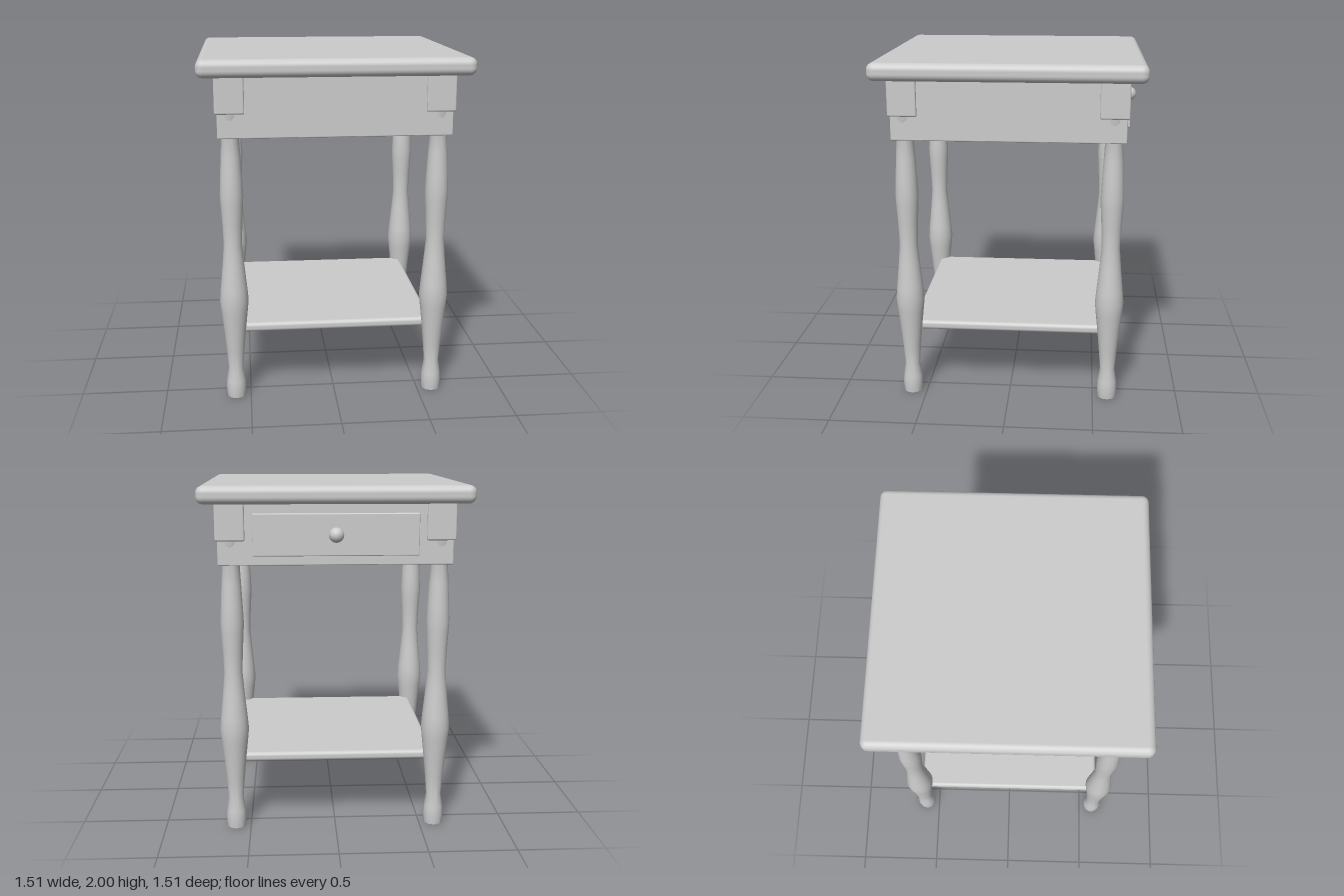
import * as THREE from 'three';
import { toCreasedNormals } from 'three/addons/utils/BufferGeometryUtils.js';
import { RoundedBoxGeometry } from 'three/addons/geometries/RoundedBoxGeometry.js';

export function createModel() {
  const table = new THREE.Group();
  table.name = 'sideTable';
  const grey = new THREE.MeshStandardMaterial({ color: 0xcccccc });
  grey.name = 'plain grey';

  const add = (name, geometry, x, y, z) => {
    const mesh = new THREE.Mesh(geometry, grey);
    mesh.name = name;
    mesh.position.set(x, y, z);
    table.add(mesh);
  };
  // Box with softened edges, placed by its bottom and top heights
  const slab = (name, w, d, bottom, top, radius, x = 0, z = 0) =>
    add(name, new RoundedBoxGeometry(w, top - bottom, d, 4, radius), x, (bottom + top) / 2, z);

  slab('tableTop', 1.515, 1.515, 1.9, 2, 0.04);
  slab('apron', 1.308, 1.308, 1.56, 1.905, 0.006);
  slab('shelf', 1.16, 1.16, 0.39, 0.445, 0.022);

  // Turned leg profile: radius, height
  const profile = [
    [0, 0], [0.053, 0], [0.058, 0.05], [0.055, 0.1], [0.043, 0.18], [0.052, 0.29],
    [0.064, 0.42], [0.076, 0.53], [0.083, 0.6], [0.077, 0.67], [0.062, 0.82],
    [0.052, 0.94], [0.057, 1.06], [0.064, 1.18], [0.066, 1.23], [0.062, 1.32],
    [0.055, 1.45], [0.049, 1.56], [0.062, 1.63], [0.074, 1.68], [0.074, 1.75],
  ].map(([r, y]) => new THREE.Vector2(r, y));
  const legGeometry = toCreasedNormals(new THREE.LatheGeometry(profile, 32), Math.PI / 5);

  // Four legs, each capped by a square corner block
  const c = 0.585;
  for (const sx of [1, -1]) {
    for (const sz of [1, -1]) {
      const corner = (sz > 0 ? 'front' : 'back') + (sx > 0 ? 'Left' : 'Right');
      add(corner + 'Leg', legGeometry, sx * c, 0, sz * c);
      slab(corner + 'Block', 0.164, 0.164, 1.695, 1.905, 0.01, sx * c, sz * c);
    }
  }

  // Drawer on the back face
  slab('drawerFront', 0.92, 0.05, 1.613, 1.847, 0.006, 0, -0.652);
  add('drawerKnob', new THREE.SphereGeometry(0.042, 24, 16), 0, 1.73, -0.688);

  return table;
}
